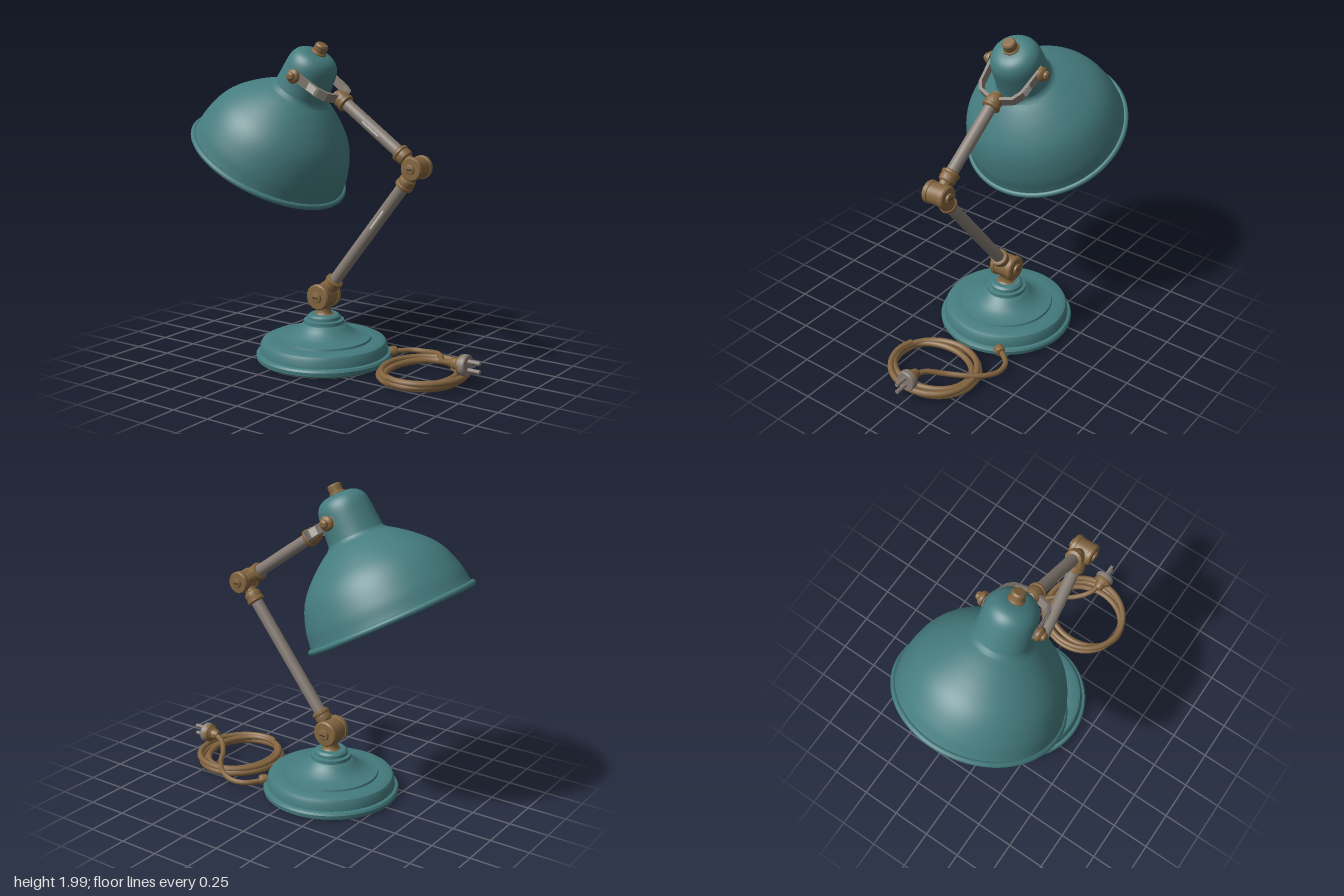
import * as THREE from 'three';
import { toCreasedNormals } from 'three/addons/utils/BufferGeometryUtils.js';

const flat = (name, color) => {
  const m = new THREE.MeshStandardMaterial({ color });
  m.name = name;
  return m;
};
const V = (x, y, z = 0) => new THREE.Vector3(x, y, z);

export function createModel() {
  const teal = flat('teal enamel', 0x457c7f);
  const brass = flat('aged brass', 0x83653f);
  const steel = flat('dull steel', 0x857b73);
  const bare = flat('bare metal', 0xc9c6bd);
  const cream = flat('cream lining', 0xe0d9cb);
  const cloth = flat('cloth cord', 0x846540);
  const glass = flat('bulb glass', 0xb3a78f);
  const rust = flat('worn brown', 0x5f5048);
  const dark = flat('dark slot', 0x3a3632);

  const lamp = new THREE.Group();
  lamp.name = 'deskLamp';
  const add = (parent, name, geo, mat, x = 0, y = 0, z = 0) => {
    const m = new THREE.Mesh(geo, mat);
    m.name = name;
    m.position.set(x, y, z);
    parent.add(m);
    return m;
  };
  const lathe = (pts, seg = 64, crease = 0.6) => toCreasedNormals(
    new THREE.LatheGeometry(pts.map(p => new THREE.Vector2(...p)), seg), crease);
  const smooth = (pts, n = 40) => new THREE.SplineCurve(pts.map(p => new THREE.Vector2(...p)))
    .getPoints(n).map(p => [p.x, p.y]);
  const UP = V(0, 1);
  // group whose local y runs along dir
  const aim = (parent, name, at, dir) => {
    const g = new THREE.Group();
    g.name = name;
    g.position.copy(at);
    g.quaternion.setFromUnitVectors(UP, dir.clone().normalize());
    parent.add(g);
    return g;
  };

  // ---- Base ----
  const bx = -0.115;
  const base = new THREE.Group();
  base.name = 'base';
  base.position.x = bx;
  lamp.add(base);
  add(base, 'basePlate', lathe([
    [0, 0.008], [0.415, 0.008], [0.427, 0.018], [0.43, 0.042], [0.422, 0.055], [0.405, 0.06],
    [0.402, 0.105], [0.39, 0.127], [0.37, 0.137], [0.3, 0.139], [0.296, 0.152], [0.262, 0.157],
    [0.225, 0.166], [0.185, 0.187], [0.155, 0.213], [0.135, 0.236], [0.128, 0.24], [0.126, 0.262],
    [0.106, 0.267], [0.104, 0.285], [0.09, 0.297], [0, 0.299]], 80), teal);
  add(base, 'neck', lathe([[0.062, 0.295], [0.05, 0.305], [0.044, 0.325], [0.046, 0.345],
    [0.06, 0.37], [0, 0.39]], 32), brass);
  // worn crescent under the base
  const worn = new THREE.Shape();
  const a0 = 0.4 * Math.PI + 0.42 * Math.PI * 0.6, R = 0.41;
  worn.absarc(0, 0, R, -0.5, a0, false);
  worn.splineThru([[-0.2, 0.75], [0.07, 0.5], [0.3, 0.48], [0.53, 0.3], [0.8, 0], [0.82, -0.3],
    [0.877, -0.479]].map(p => new THREE.Vector2(p[0] * R, p[1] * R)));
  const patch = add(base, 'wornPatch', new THREE.ShapeGeometry(worn, 24), rust, 0, 0.004, 0);
  patch.rotation.set(Math.PI / 2, 0, Math.PI * 0.75);
  patch.scale.y = -1;
  patch.material.side = THREE.DoubleSide;

  // ---- Joints: barrel, two cheeks and bolt heads ----
  const joint = (name, x, y, r, half) => {
    const g = new THREE.Group();
    g.name = name;
    g.position.set(x, y, 0);
    g.rotation.x = Math.PI / 2;
    lamp.add(g);
    add(g, 'barrel', lathe([[0, -half * 0.45], [r * 0.93, -half * 0.45], [r * 0.93, half * 0.45],
      [0, half * 0.45]], 32), brass);
    for (const s of [0, Math.PI]) {
      const cheek = add(g, 'cheek', lathe([[r * 0.8, half * 0.4], [r, half * 0.47], [r, half * 0.72],
        [r * 0.9, half * 0.82], [r * 0.45, half * 0.84], [r * 0.42, half * 0.97],
        [r * 0.3, half], [0, half]], 32), brass);
      cheek.rotation.x = s;
      add(cheek, 'screwSlot', new THREE.BoxGeometry(r * 0.5, 0.003, 0.008), dark, 0, half, 0);
    }
  };
  const low = V(bx, 0.415), elbow = V(0.555, 1.28), fork = V(0.01, 1.66);
  joint('lowerJoint', low.x, low.y, 0.082, 0.097);
  joint('elbowJoint', elbow.x, elbow.y, 0.07, 0.09);

  // ---- Arms: tube with a brass collar at each end and rubbed strips ----
  const collar = lathe([[0.034, -0.06], [0.036, -0.035], [0.047, -0.028], [0.053, -0.01],
    [0.05, 0.012], [0.056, 0.018], [0.056, 0.034], [0.044, 0.042], [0, 0.042]], 32);
  const arm = (name, a, b, c0, c1, rub, rubLen) => {
    const d = b.clone().sub(a), L = d.length();
    const g = aim(lamp, name, a, d);
    add(g, 'tube', new THREE.CylinderGeometry(0.038, 0.038, L - c0 - c1, 32), steel, 0, (L + c0 - c1) / 2, 0);
    add(g, 'collarStart', collar, brass, 0, c0, 0);
    const end = add(g, 'collarEnd', collar, brass, 0, L - c1, 0);
    end.rotation.z = Math.PI;
    add(g, 'rubbedStrip', new THREE.CylinderGeometry(0.0385, 0.0385, rubLen, 6, 1, true, -0.12, 0.3),
      bare, 0, L * rub, 0);
  };
  arm('lowerArm', low, elbow, 0.105, 0.115, 0.62, 0.15);
  arm('upperArm', elbow, fork, 0.115, 0.02, 0.56, 0.14);
  add(lamp, 'forkKnuckle', new THREE.SphereGeometry(0.048, 24, 16), brass, fork.x, fork.y, 0);

  // ---- Fork strap holding the shade ----
  const pivot = V(-0.205, 1.795);
  const f = new THREE.Group();
  f.name = 'shadeFork';
  f.position.copy(fork);
  f.rotation.z = Math.atan2(pivot.y - fork.y, pivot.x - fork.x);
  lamp.add(f);
  const half = [[0, 0.035], [0.03, 0.115], [0.08, 0.145], [0.285, 0.172]];
  const outer = half.map(([x, z]) => [x - 0.008, z + 0.008]);
  const mirror = pts => pts.map(([x, z]) => [x, -z]);
  const outline = [...outer, ...half.slice().reverse().map(([x, z]) => [x + 0.008, z - 0.008]),
    ...mirror(half).map(([x, z]) => [x + 0.008, z + 0.008]), ...mirror(outer).reverse()];
  const strap = new THREE.ExtrudeGeometry(new THREE.Shape(outline.map(p => new THREE.Vector2(...p))),
    { depth: 0.056, bevelEnabled: false });
  strap.translate(0, 0, -0.028).rotateX(Math.PI / 2);
  add(f, 'strap', strap, steel);
  for (const s of [1, -1]) {
    const rub = add(f, 'rubbedStrap', new THREE.BoxGeometry(0.06, 0.05, 0.004), bare, 0.12, 0, s * 0.159);
    rub.rotation.y = -s * 0.131;
    // pivot knobs
    const k = aim(lamp, 'pivotKnob', V(pivot.x, pivot.y, s * 0.155), V(0, 0, s));
    add(k, 'knob', lathe([[0.03, 0], [0.03, 0.018], [0.042, 0.022], [0.045, 0.038], [0.036, 0.05],
      [0.026, 0.054], [0.025, 0.068], [0.015, 0.076], [0, 0.077]], 24), brass);
  }

  // ---- Shade ----
  const shade = aim(lamp, 'shade', V(-0.545, 1.232), V(0.493, 0.87));
  const dome = [[0.512, 0.005], [0.505, 0.05], [0.493, 0.13], [0.457, 0.24], [0.407, 0.325],
    [0.33, 0.405], [0.25, 0.47], [0.19, 0.51]];
  add(shade, 'dome', lathe([...smooth(dome), ...smooth([[0.173, 0.53], [0.168, 0.58], [0.163, 0.65],
    [0.157, 0.71], [0.143, 0.75], [0.115, 0.78], [0.07, 0.797], [0, 0.8]], 24)], 80, 0.7), teal);
  add(shade, 'lining', lathe(smooth([[0, 0.49], [0.12, 0.488],
    ...dome.slice(0, 7).reverse().map(([r, h]) => [r - 0.012, h - 0.008])]), 80, 0.9), cream);
  const rim = add(shade, 'rolledRim', new THREE.TorusGeometry(0.513, 0.018, 14, 96), teal, 0, 0.012, 0);
  rim.rotation.x = Math.PI / 2;
  add(shade, 'topCap', lathe([[0.05, 0.79], [0.05, 0.805], [0.042, 0.812], [0.042, 0.85],
    [0.034, 0.86], [0, 0.861]], 24), brass);
  add(shade, 'socket', new THREE.CylinderGeometry(0.06, 0.06, 0.18, 32), brass, 0, 0.41, 0);
  add(shade, 'bulb', lathe(smooth([[0, 0.01], [0.06, 0.024], [0.106, 0.07], [0.12, 0.13],
    [0.105, 0.19], [0.07, 0.26], [0.05, 0.34]], 24), 40, 1), glass);

  // ---- Cord ----
  const tube = (name, pts, n, r) => add(lamp, name,
    new THREE.TubeGeometry(new THREE.CatmullRomCurve3(pts), n, r, 10), cloth);
  tube('cordLead', [V(0.25, 0.06, -0.21), V(0.28, 0.055, -0.26), V(0.34, 0.055, -0.322),
    V(0.43, 0.058, -0.338), V(0.53, 0.075, -0.3), V(0.61, 0.09, -0.22), V(0.68, 0.1, -0.11),
    V(0.76, 0.13, -0.03), V(0.84, 0.145, 0)], 80, 0.017);
  const coil = [];
  for (let i = 0; i <= 84; i++) {
    const t = i / 84, a = t * Math.PI * 7 - 1.2, w = Math.sin(t * 9) * 0.014;
    const r = 1 - 0.22 * Math.abs(((t * 1.6 + 0.1) % 1) * 2 - 1);
    coil.push(V(0.625 + Math.cos(a) * (0.258 * r + w), 0.033 + 0.04 * t, 0.02 + Math.sin(a) * (0.302 * r - w)));
  }
  tube('cordCoil', coil, 260, 0.02);
  const gland = aim(lamp, 'cordGland', V(0.245, 0.06, -0.2), V(0.04, 0, -0.05));
  add(gland, 'gland', lathe([[0.03, 0], [0.034, 0.03], [0.028, 0.05], [0, 0.055]], 20), brass);

  // ---- Plug ----
  const plug = aim(lamp, 'plug', V(0.81, 0.145), V(1, 0));
  add(plug, 'plugBody', lathe([[0, 0], [0.025, 0], [0.034, 0.02], [0.036, 0.04], [0.05, 0.055],
    [0.06, 0.062], [0.06, 0.08], [0, 0.08]], 28), brass);
  add(plug, 'plugFace', lathe([[0.064, 0.075], [0.065, 0.082], [0.065, 0.105], [0.06, 0.112],
    [0, 0.112]], 28), steel);
  for (const s of [1, -1]) {
    add(plug, 'prong', new THREE.CylinderGeometry(0.013, 0.013, 0.085, 14), steel, s * 0.026, 0.1475, 0);
  }
  return lamp;
}
